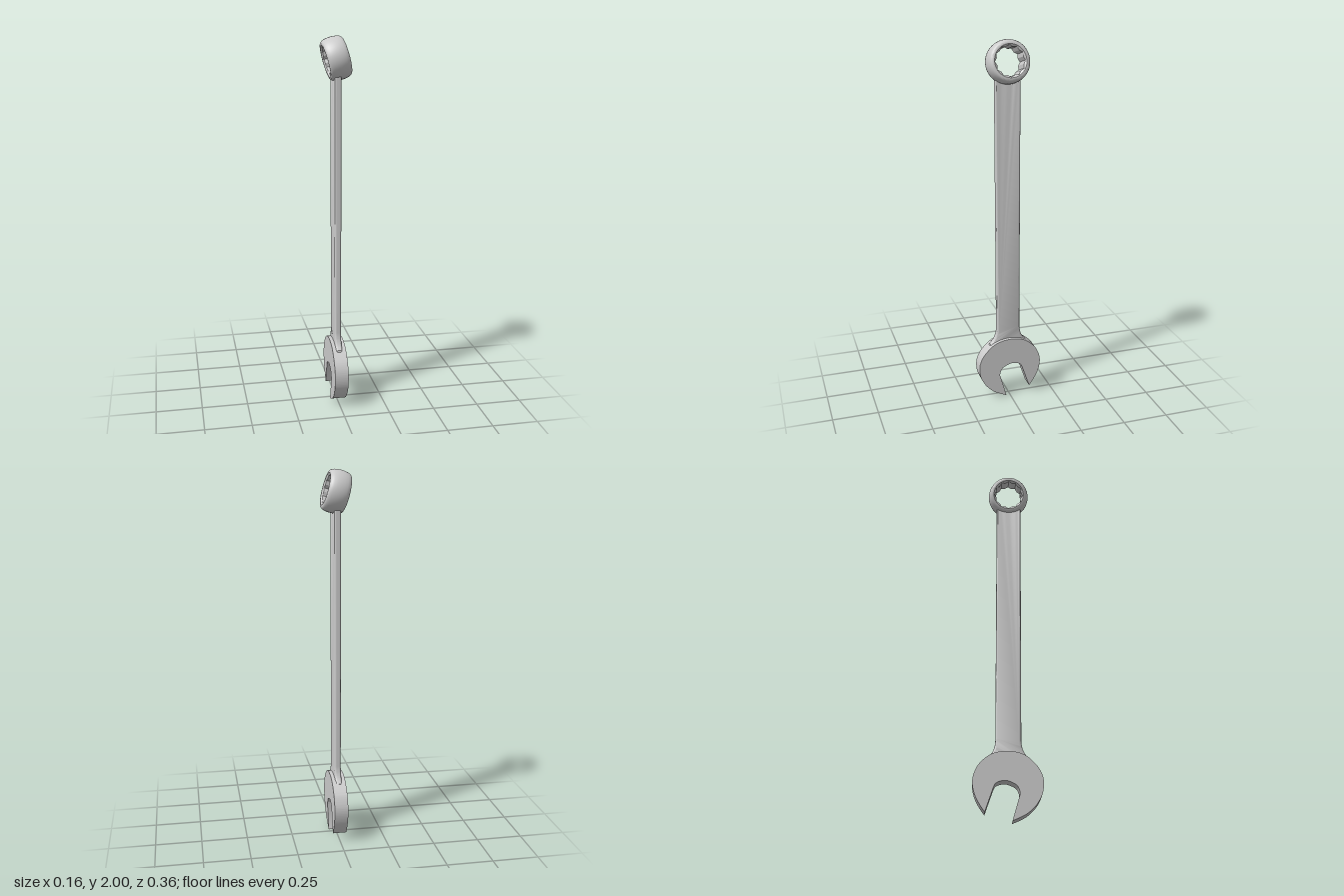
import * as THREE from 'three';
import { toCreasedNormals } from 'three/addons/utils/BufferGeometryUtils.js';

const v = (x, y) => new THREE.Vector2(x, y);
const material = new THREE.MeshStandardMaterial({ color: 0xcccccc });

function part(name, geometry, crease = 0.55) {
  const mesh = new THREE.Mesh(toCreasedNormals(geometry, crease), material);
  mesh.name = name;
  return mesh;
}

// Extrudes a (z, y) outline along x, centred on x = 0; bevel rounds the edges inward.
function plate(shape, thickness, bevel = 0) {
  const geometry = new THREE.ExtrudeGeometry(shape, {
    depth: thickness - 2 * bevel,
    curveSegments: 16,
    bevelEnabled: bevel > 0,
    bevelThickness: bevel,
    bevelSize: bevel,
    bevelOffset: -bevel,
    bevelSegments: 5,
  });
  geometry.translate(0, 0, bevel - thickness / 2);
  return geometry.rotateY(-Math.PI / 2);
}

// Open jaw: rounded head with a slanted slot
function jawGeometry() {
  const s = new THREE.Shape();
  s.moveTo(0.022, 0);
  s.splineThru([
    v(0.06, 0.017), v(0.1, 0.04), v(0.142, 0.082), v(0.17, 0.135), v(0.178, 0.19),
    v(0.168, 0.24), v(0.137, 0.288), v(0.08, 0.335), v(0, 0.352), v(-0.08, 0.337),
    v(-0.14, 0.29), v(-0.17, 0.235), v(-0.177, 0.185), v(-0.165, 0.128),
    v(-0.142, 0.082), v(-0.114, 0.041),
  ]);
  s.lineTo(-0.073, 0.162);
  s.splineThru([v(-0.062, 0.184), v(-0.04, 0.196), v(-0.004, 0.199), v(0.04, 0.18), v(0.056, 0.155), v(0.059, 0.132)]);
  s.closePath();
  return plate(s, 0.074);
}

// Shank: rounded bar, flared into the jaw and hollowed at the top to seat the ring
function shankGeometry() {
  const ringY = 1.888, ringR = 0.097, zA = 0.073, zB = -0.063;
  const seat = z => ringY - Math.sqrt(ringR * ringR - z * z);
  const s = new THREE.Shape();
  s.moveTo(0.115, 0.29);
  s.lineTo(0.108, 0.325);
  s.quadraticCurveTo(0.069, 0.355, 0.069, 0.42);
  s.lineTo(zA, seat(zA));
  for (let i = 1; i <= 10; i++) {
    const z = zA + (zB - zA) * i / 10;
    s.lineTo(z, seat(z));
  }
  s.lineTo(-0.063, 0.42);
  s.quadraticCurveTo(-0.063, 0.355, -0.104, 0.325);
  s.lineTo(-0.111, 0.29);
  s.closePath();
  return plate(s, 0.035, 0.012);
}

// Twelve-point socket: an inward-facing lathe whose middle rows become two crossed hexagons
function socketGeometry() {
  const geometry = new THREE.LatheGeometry(
    [v(0.084, 0.056), v(0.08, 0.048), v(0.08, -0.048), v(0.084, -0.056)], 48);
  const p = geometry.attributes.position;
  const step = Math.PI / 6;
  for (let i = 0; i < p.count; i++) {
    if (Math.abs(p.getY(i)) > 0.05) continue;
    const angle = Math.atan2(p.getX(i), p.getZ(i));
    const offset = Math.abs(angle - Math.round(angle / step) * step);
    const f = Math.cos(step) / Math.cos(step - offset);
    p.setX(i, p.getX(i) * f);
    p.setZ(i, p.getZ(i) * f);
  }
  return geometry;
}

export function createModel() {
  const wrench = new THREE.Group();
  wrench.name = 'combinationWrench';
  wrench.add(part('openJaw', jawGeometry()), part('shank', shankGeometry()));

  // Ring end, its axis tilted 15 degrees from x
  const ring = new THREE.Group();
  ring.name = 'ringEnd';
  const half = [v(0.084, 0.056), v(0.094, 0.056), v(0.099, 0.053), v(0.104, 0.046), v(0.108, 0.035), v(0.111, 0.018)];
  const profile = [...half.map(p => v(p.x, -p.y)), v(0.112, 0), ...half.slice().reverse()];
  ring.add(
    part('ringBody', new THREE.LatheGeometry(profile, 48), 0.6),
    part('twelvePointSocket', socketGeometry(), 0.3),
  );
  ring.rotation.z = THREE.MathUtils.degToRad(-75);
  ring.position.set(0, 1.888, 0.003);
  wrench.add(ring);
  return wrench;
}
